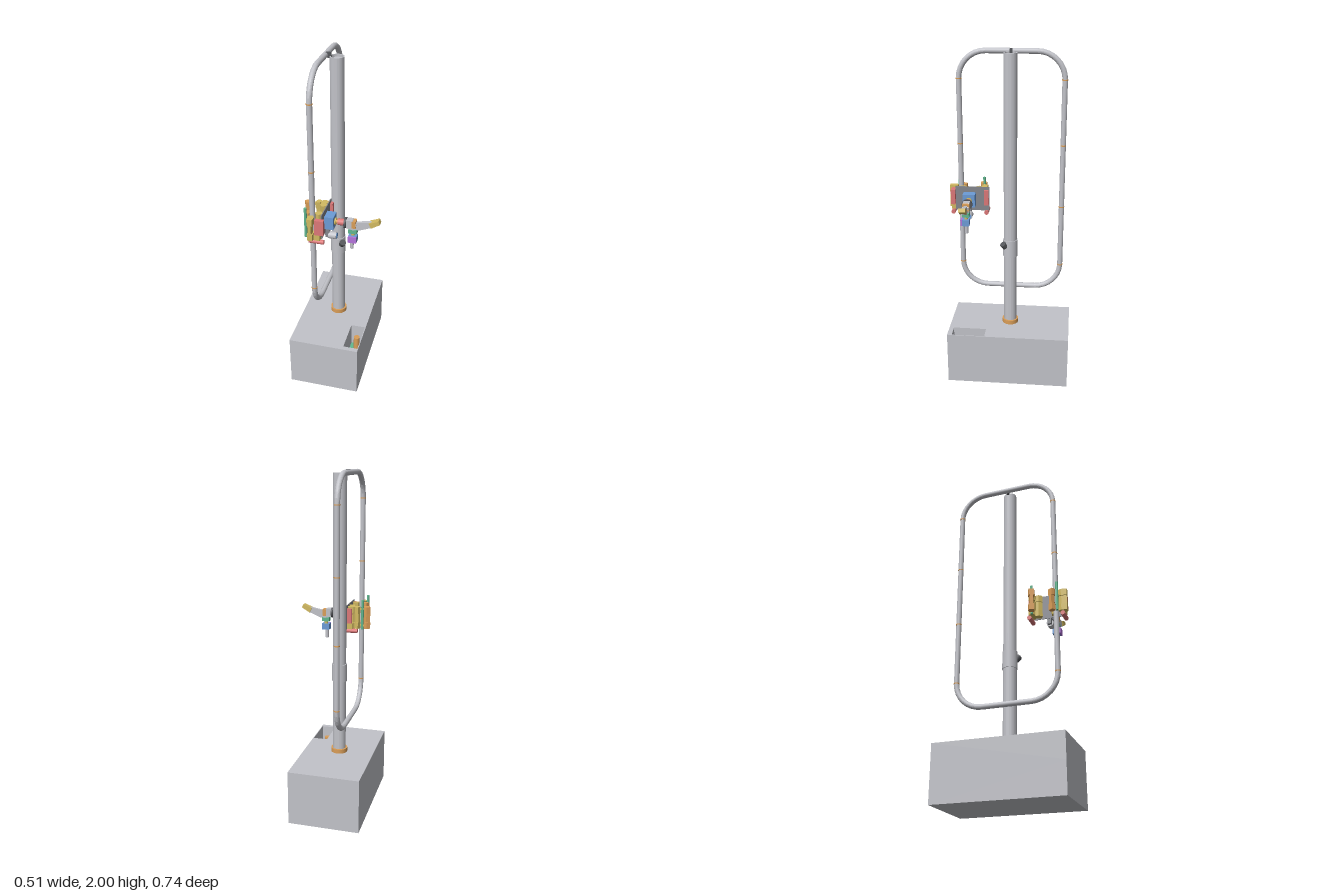
import * as THREE from 'three';
import { toCreasedNormals } from 'three/addons/utils/BufferGeometryUtils.js';

const palette = {
  grey: 0xc2c3c9, plateGrey: 0x85878d, darkGrey: 0x54565a, yellow: 0xd2ba62, orange: 0xda9e58,
  red: 0xdc7878, blue: 0x6c9cd6, green: 0x62b890, purple: 0xb574dc,
};

export function createModel() {
  const root = new THREE.Group();
  root.name = 'poleClimberRig';
  const mats = {};
  for (const [name, color] of Object.entries(palette)) {
    mats[name] = new THREE.MeshStandardMaterial({ color });
    mats[name].name = name;
  }

  const add = (name, geo, mat, parent = root) => {
    const m = new THREE.Mesh(geo, mats[mat]);
    m.name = name;
    parent.add(m);
    return m;
  };
  // Box given by its limits on each axis
  const box = (name, mat, [x0, x1], [y0, y1], [z0, z1], parent) => {
    const g = new THREE.BoxGeometry(x1 - x0, y1 - y0, z1 - z0);
    g.translate((x0 + x1) / 2, (y0 + y1) / 2, (z0 + z1) / 2);
    return add(name, g, mat, parent);
  };
  // Cylinder between two points
  const rod = (name, mat, a, b, r, parent, sides = 24) => {
    const p = new THREE.Vector3(...a), q = new THREE.Vector3(...b);
    const dir = q.clone().sub(p);
    const m = add(name, new THREE.CylinderGeometry(r, r, dir.length(), sides), mat, parent);
    m.position.copy(p).add(q).multiplyScalar(0.5);
    m.quaternion.setFromUnitVectors(new THREE.Vector3(0, 1, 0), dir.normalize());
    return m;
  };
  const outline = (pts) => new THREE.Shape(pts.map(([a, b]) => new THREE.Vector2(a, b)));
  // Plan outline in x, z, extruded from y0 up to y1
  const prism = (name, mat, shape, y0, y1, parent) => {
    const g = new THREE.ExtrudeGeometry(shape, { depth: y1 - y0, bevelEnabled: false });
    g.rotateX(Math.PI / 2).translate(0, y1, 0);
    return add(name, g, mat, parent);
  };
  // Side outline in x, y, extruded along z
  const sideProfile = (name, mat, pts, z0, z1, parent) => {
    const g = new THREE.ExtrudeGeometry(outline(pts), { depth: z1 - z0, bevelEnabled: false });
    g.translate(0, 0, z0);
    return add(name, g, mat, parent);
  };
  const group = (name) => {
    const g = new THREE.Group();
    g.name = name;
    root.add(g);
    return g;
  };

  // Base block with a sunken pit
  const base = group('base');
  const top = outline([[-0.258, -0.368], [0.163, -0.368], [0.163, 0.368], [-0.258, 0.368]]);
  top.holes.push(new THREE.Path([[0.072, 0.14], [0.072, 0.34], [0.158, 0.34], [0.158, 0.14]]
    .map((p) => new THREE.Vector2(...p))));
  prism('baseUpper', 'grey', top, 0.175, 0.325, base);
  box('baseLower', 'grey', [-0.258, 0.163], [0, 0.175], [-0.368, 0.368], base);
  box('pitFloor', 'green', [0.072, 0.158], [0.17, 0.183], [0.14, 0.34], base);
  for (const z of [0.178, 0.304]) rod('pitPeg', 'orange', [0.115, 0.18, z], [0.115, 0.27, z], 0.018, base);

  // Upright pole with foot, sleeve and open top
  const pole = group('pole');
  pole.position.x = -0.047;
  const polePts = [[0.039, 0.33], [0.039, 1.983], [0.033, 1.983], [0.033, 1.955], [0.017, 1.955], [0.017, 1.975], [0, 1.975]];
  add('poleTube', toCreasedNormals(new THREE.LatheGeometry(polePts.map((p) => new THREE.Vector2(...p)), 40), 0.6), 'grey', pole);
  rod('poleFoot', 'orange', [0, 0.32, 0], [0, 0.35, 0], 0.049, pole, 32);
  rod('poleSleeve', 'grey', [0, 0.78, 0], [0, 0.885, 0], 0.044, pole, 40);
  rod('knobShaft', 'grey', [0.02, 0.855, 0.02], [0.033, 0.855, 0.033], 0.011, pole);
  rod('knob', 'darkGrey', [0.028, 0.845, 0.028], [0.04, 0.867, 0.042], 0.019, pole);

  // Rounded rectangular pipe loop
  const loop = group('pipeLoop');
  const X = -0.11, R = 0.0155, bend = 0.155, Z = 0.3, yLow = 0.705, yHigh = 1.83;
  for (const s of [-1, 1]) {
    rod('pipeUpright', 'grey', [X, yLow, s * Z], [X, yHigh, s * Z], R, loop);
    for (let i = 0; i < 4; i++) {
      const y = yLow + i * 0.375;
      rod('pipeJoint', 'orange', [X, y - 0.003, s * Z], [X, y + 0.003, s * Z], R + 0.0015, loop);
    }
  }
  for (const y of [yLow - bend, yHigh + bend]) {
    rod('pipeRun', 'grey', [X, y, bend - Z], [X, y, Z - bend], R, loop);
  }
  for (let i = 0; i < 4; i++) {
    const g = new THREE.TorusGeometry(bend, R, 20, 8, Math.PI / 2);
    g.rotateZ(i * Math.PI / 2).rotateY(-Math.PI / 2);
    const m = add('pipeBend', toCreasedNormals(g, 0.18), 'grey', loop);
    m.position.set(X, i < 2 ? yHigh : yLow, i === 0 || i === 3 ? Z - bend : bend - Z);
  }
  box('pipeClip', 'darkGrey', [-0.106, -0.079], [1.972, 2.0], [-0.007, 0.007], loop);

  // Climber back plate with drive motors
  const climber = group('climber');
  box('backPlate', 'plateGrey', [-0.057, -0.052], [1.062, 1.208], [0.125, 0.326], climber);
  for (const z of [0.142, 0.34]) {
    box('sideMotor', 'red', [-0.086, -0.036], [1.1, 1.19], [z - 0.013, z + 0.013], climber);
    rod('lowerActuator', 'red', [-0.12, 1.053, z], [-0.036, 1.053, z], 0.013, climber);
    box('motorBracket', 'yellow', [-0.09, -0.057], [1.065, 1.1], [z - 0.012, z + 0.012], climber);
  }

  // Clamp finger: wedge pointing at the clamp centre, with a narrow core between two wide ends
  const finger = (clamp, mat, x, z, angle, len) => {
    const f = new THREE.Group();
    f.name = 'clampFinger';
    f.position.set(x, 0, z);
    f.rotation.y = angle;
    clamp.add(f);
    const wedge = (w) => outline([[-w * 0.6, 0], [w * 0.6, 0], [w, len * 0.35], [w * 0.75, len], [-w * 0.75, len], [-w, len * 0.35]]);
    prism('fingerBottom', mat, wedge(0.019), 1.067, 1.105, f);
    prism('fingerCore', mat, wedge(0.012), 1.105, 1.16, f);
    prism('fingerTop', mat, wedge(0.019), 1.16, 1.2, f);
  };
  // Closed clamp around the pipe
  const closed = new THREE.Group();
  closed.name = 'closedClamp';
  climber.add(closed);
  finger(closed, 'yellow', X, 0.318, 0, 0.049);
  finger(closed, 'yellow', X + 0.016, 0.292, Math.PI * 0.66, 0.036);
  finger(closed, 'orange', X - 0.016, 0.292, -Math.PI * 0.66, 0.03);
  rod('hingePin', 'green', [-0.145, 1.06, 0.316], [-0.145, 1.24, 0.316], 0.008, closed);
  // Opened clamp beside it
  const open = new THREE.Group();
  open.name = 'openClamp';
  climber.add(open);
  finger(open, 'yellow', -0.1, 0.165, Math.PI * 0.62, 0.042);
  finger(open, 'yellow', -0.088, 0.172, 0.5, 0.038);
  finger(open, 'yellow', -0.1, 0.163, -Math.PI * 0.62, 0.03);
  finger(open, 'orange', -0.153, 0.165, -1.2, 0.038);
  rod('hingePin', 'green', [-0.145, 1.06, 0.165], [-0.145, 1.24, 0.165], 0.008, open);
  for (const y of [1.08, 1.18]) box('hingeLink', 'yellow', [-0.155, -0.1], [y, y + 0.012], [0.16, 0.17], open);

  // Arm: shoulder, wrist and gripper reaching to +x
  const arm = group('arm');
  const zc = 0.241;
  box('shoulderBlock', 'blue', [-0.053, 0], [1.098, 1.174], [0.205, 0.277], arm);
  rod('shoulderNut', 'yellow', [0, 1.136, zc], [0.009, 1.136, zc], 0.021, arm, 6);
  rod('shoulderAxle', 'orange', [0.009, 1.136, zc], [0.02, 1.136, zc], 0.012, arm);
  rod('forearm', 'red', [0.018, 1.136, zc], [0.056, 1.136, zc], 0.019, arm);
  rod('wristDisc', 'darkGrey', [0.055, 1.136, zc], [0.067, 1.136, zc], 0.031, arm);
  sideProfile('wristBlock', 'grey', [[0.067, 1.112], [0.115, 1.1], [0.125, 1.14], [0.1, 1.16], [0.067, 1.16]], 0.222, 0.26, arm);
  box('wristHinge', 'orange', [0.098, 0.121], [1.115, 1.157], [0.221, 0.261], arm);
  sideProfile('gripperJaw', 'grey', [[0.11, 1.1], [0.135, 1.1], [0.222, 1.135], [0.225, 1.167], [0.13, 1.148], [0.11, 1.148]], 0.231, 0.251, arm);
  sideProfile('gripperTip', 'yellow', [[0.193, 1.158], [0.207, 1.13], [0.256, 1.16], [0.247, 1.18]], 0.222, 0.26, arm);

  // Tool hanging below the wrist
  const tool = group('hangingTool');
  box('toolMount', 'green', [0.08, 0.127], [1.08, 1.104], [0.222, 0.26], tool);
  rod('toolNeck', 'yellow', [0.103, 1.06, zc], [0.103, 1.085, zc], 0.011, tool);
  box('toolBody', 'blue', [0.08, 0.127], [1.027, 1.064], [0.222, 0.262], tool);
  box('toolFace', 'purple', [0.08, 0.127], [1.027, 1.064], [0.262, 0.272], tool);
  rod('toolProbe', 'grey', [0.097, 0.975, zc], [0.097, 1.03, zc], 0.01, tool);

  // Camera under the shoulder block
  rod('cameraBody', 'grey', [-0.035, 1.043, zc], [0.009, 1.043, zc], 0.021, climber);
  rod('cameraLens', 'blue', [0.008, 1.043, zc], [0.012, 1.043, zc], 0.016, climber);
  box('cameraBracket', 'plateGrey', [-0.054, -0.03], [1.03, 1.098], [0.23, 0.252], climber);

  return root;
}
